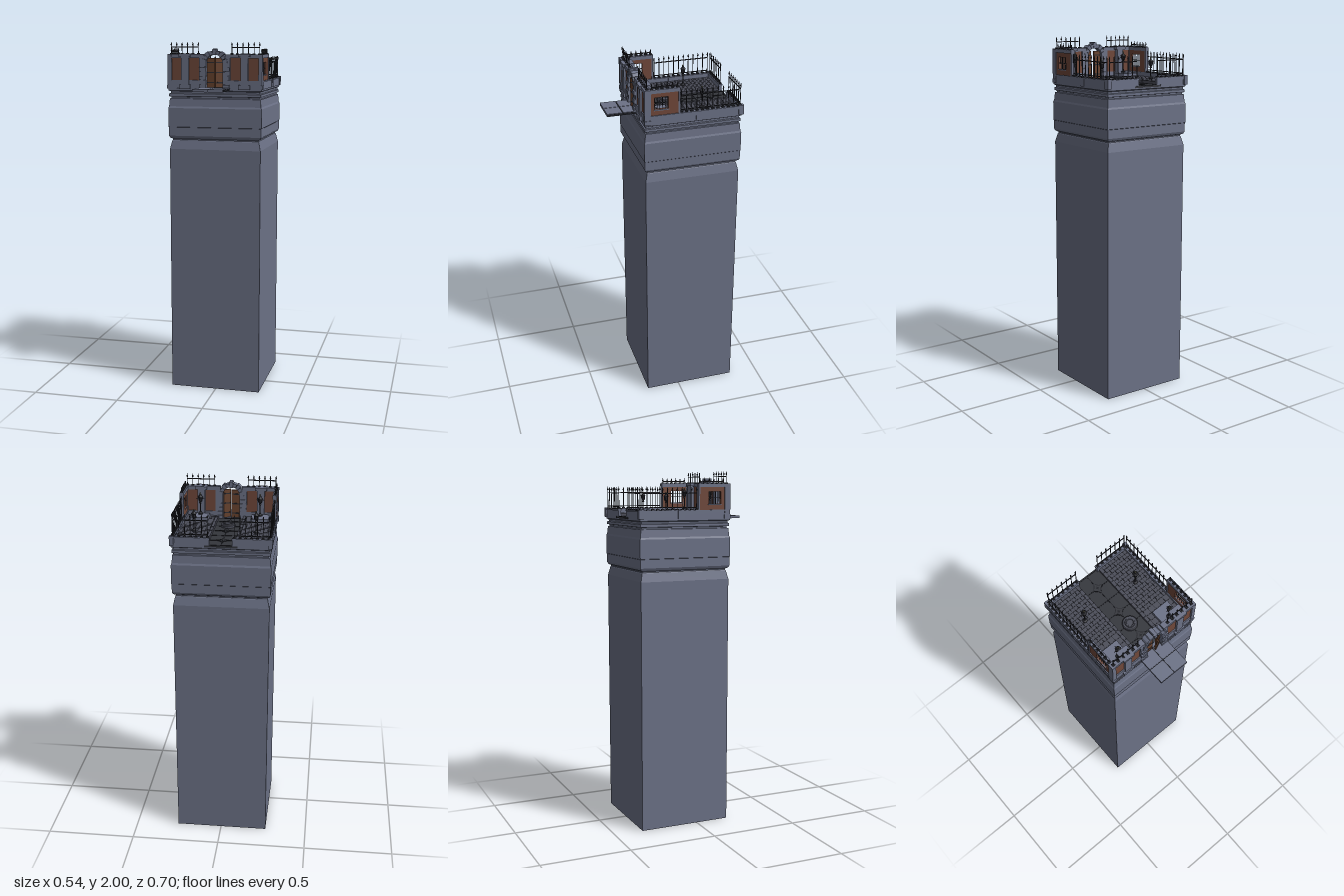
import * as THREE from 'three';
import { mergeGeometries } from 'three/addons/utils/BufferGeometryUtils.js';

const mat = (color) => new THREE.MeshStandardMaterial({ color, flatShading: true });
const STONE = mat(0x6c7287), TILE = mat(0x4b4d59), DARK = mat(0x34363c), JOINT = mat(0x1e2026);
const BRICK = mat(0x70483a), IRON = mat(0x2b2c33), WOOD = mat(0x69442f), LAMP = mat(0x6a6a55);

const FLOOR = 1.75, DECK = 1.765, BASE = 1.79, CAP = 1.932;
const Z_FRONT = 0.193, Z_BACK = -0.345, HALF = 0.266;

// Box geometry given by its extents
function boxGeo(x0, x1, y0, y1, z0, z1) {
  return new THREE.BoxGeometry(Math.abs(x1 - x0), y1 - y0, z1 - z0)
    .translate((x0 + x1) / 2, (y0 + y1) / 2, (z0 + z1) / 2);
}

function createModel() {
  const model = new THREE.Group();
  model.name = 'towerTerrace';
  const root = new THREE.Group();
  root.name = 'tower';
  root.position.x = -0.004;
  model.add(root);

  const add = (name, geo, material, parent = root) => {
    const m = new THREE.Mesh(geo, material);
    m.name = name;
    parent.add(m);
    return m;
  };
  const box = (name, material, ...e) => add(name, boxGeo(...e), material);

  // Square shaft with grooves and cornice: [half width, height]
  const profile = [[0, 0], [0.26, 0], [0.26, 1.405], [0.249, 1.452], [0.246, 1.456], [0.246, 1.462], [0.258, 1.468],
    [0.264, 1.48], [0.264, 1.528], [0.266, 1.53], [0.266, 1.635], [0.262, 1.645], [0.258, 1.688], [0.251, 1.69],
    [0.251, 1.698], [0.261, 1.7], [0.261, 1.715], [0.254, 1.718], [0.254, 1.728], [0.264, 1.733], [0.264, 1.745], [0, 1.745]];
  const shaft = add('shaft', new THREE.LatheGeometry(
    profile.map(([r, y]) => new THREE.Vector2(r * Math.SQRT2, y)), 4, Math.PI / 4), STONE);
  shaft.scale.z = 1.015;
  shaft.position.z = -0.072;

  // Central aisle with joints and star inlays
  box('aisle', DARK, -0.088, 0.088, 1.74, FLOOR, Z_BACK, 0.163);
  const joints = [boxGeo(-0.002, 0.002, FLOOR, FLOOR + 0.002, -0.33, 0.163)];
  for (let i = 0; i < 6; i++) {
    const z = -0.338 + i * 0.0862;
    joints.push(boxGeo(-0.072, 0.072, FLOOR, FLOOR + 0.002, z - 0.002, z + 0.002));
  }
  add('aisleJoints', mergeGeometries(joints), JOINT);
  const star = (r) => {
    const s = new THREE.Shape().moveTo(r, 0);
    for (let k = 1; k <= 4; k++) {
      const a = k * Math.PI / 2, m = a - Math.PI / 4;
      s.quadraticCurveTo(Math.cos(m) * r * 0.22, Math.sin(m) * r * 0.22, Math.cos(a) * r, Math.sin(a) * r);
    }
    return s;
  };
  for (const z of [-0.252, -0.08, 0.092]) {
    [[0.042, 0.003, JOINT], [0.033, 0.004, DARK], [0.012, 0.005, JOINT]].forEach(([r, depth, m]) => {
      const g = new THREE.ExtrudeGeometry(star(r), { depth, bevelEnabled: false, curveSegments: 6 });
      add('starInlay', g.rotateX(-Math.PI / 2).translate(0, FLOOR, z), m);
    });
  }

  // Round dais on the aisle
  const dais = [[0, 0], [0.04, 0], [0.04, 0.012], [0.036, 0.015], [0.027, 0.015], [0.025, 0.02], [0.019, 0.02], [0.017, 0.017], [0, 0.017]];
  add('dais', new THREE.LatheGeometry(dais.map(([r, y]) => new THREE.Vector2(r, y + FLOOR)), 32), TILE).position.set(0, 0, 0.008);

  // Tiled side decks
  const tiles = [], curb = [];
  const tileGrid = (x0, x1, z0, z1, nx, nz, s) => {
    const w = (x1 - x0) / nx, d = (z1 - z0) / nz, g = 0.0013;
    for (let i = 0; i < nx; i++) for (let j = 0; j < nz; j++) {
      const x = x0 + i * w, z = z0 + j * d;
      tiles.push(boxGeo(s * (x + g), s * (x + w - g), DECK - 0.002, DECK + 0.001, z + g, z + d - g));
    }
  };
  for (const s of [-1, 1]) {
    box('deckBed', JOINT, s * 0.072, s * 0.25, 1.74, DECK - 0.001, -0.33, 0.165);
    tileGrid(0.088, 0.248, -0.325, 0.005, 8, 16, s);
    tileGrid(0.088, 0.248, 0.005, 0.163, 5, 5, s);
    for (let j = 0; j < 15; j++) {
      const z = -0.325 + j * 0.0325;
      curb.push(boxGeo(s * 0.07, s * 0.086, 1.745, DECK + 0.002, z + 0.001, z + 0.0315));
    }
  }
  add('deckTiles', mergeGeometries(tiles), TILE);
  add('aisleCurb', mergeGeometries(curb), TILE);

  // Landing in front of the door, four slabs
  box('landingCore', JOINT, -0.083, 0.087, 1.737, 1.747, 0.18, 0.35);
  for (const s of [-1, 1]) for (const [z0, z1] of [[0.185, 0.263], [0.267, 0.352]])
    box('landingSlab', STONE, s * 0.002, s * 0.085, 1.735, FLOOR, z0, z1);

  // Spear fence: posts from a to b, rails at given heights above the base
  const fence = (name, ax, az, bx, bz, n, y, h, rails) => {
    const parts = [];
    const along = Math.atan2(-(bz - az), bx - ax), len = Math.hypot(bx - ax, bz - az);
    for (let i = 0; i < n; i++) {
      const t = n > 1 ? i / (n - 1) : 0, x = ax + (bx - ax) * t, z = az + (bz - az) * t;
      parts.push(new THREE.BoxGeometry(0.014, 0.006, 0.014).translate(x, y + 0.003, z));
      parts.push(new THREE.CylinderGeometry(0.0022, 0.0022, h - 0.02, 6).translate(x, y + (h - 0.02) / 2, z));
      parts.push(new THREE.CylinderGeometry(0.005, 0.002, 0.005, 4).translate(x, y + h - 0.0195, z));
      parts.push(new THREE.ConeGeometry(0.005, 0.018, 4).translate(x, y + h - 0.009, z));
    }
    for (const r of rails) parts.push(new THREE.BoxGeometry(len, 0.005, 0.004).rotateY(along)
      .translate((ax + bx) / 2, y + r, (az + bz) / 2));
    add(name, mergeGeometries(parts), IRON);
  };

  // Lamp standing on the deck
  const lampProfile = [[0, 0], [0.013, 0], [0.013, 0.006], [0.005, 0.012], [0.003, 0.02], [0.003, 0.06], [0.008, 0.064],
    [0.004, 0.068], [0.011, 0.078], [0.013, 0.096], [0.016, 0.098], [0.006, 0.108], [0.003, 0.116], [0, 0.12]];
  const lamp = (x, y, z, arms) => {
    const g = new THREE.Group();
    g.name = 'lamp';
    g.position.set(x, y, z);
    root.add(g);
    add('lampPost', new THREE.LatheGeometry(lampProfile.map(([r, h]) => new THREE.Vector2(r, h)), 8), IRON, g);
    add('lampFinial', new THREE.SphereGeometry(0.005, 8, 6).translate(0, 0.117, 0), LAMP, g);
    if (arms) for (let k = 0; k < 4; k++)
      add('lampArm', new THREE.ConeGeometry(0.004, 0.02, 4).rotateZ(-Math.PI / 2).translate(0.016, 0.09, 0)
        .rotateY(k * Math.PI / 2), IRON, g);
  };

  for (const s of [-1, 1]) {
    // Low parapets on the sides and back
    box('sideParapet', STONE, s * 0.246, s * HALF, 1.742, BASE - 0.008, Z_BACK, 0.165);
    box('sideCoping', STONE, s * 0.244, s * 0.268, BASE - 0.008, BASE, Z_BACK, 0.165);
    box('sidePier', STONE, s * 0.242, s * 0.27, 1.742, BASE, -0.12, -0.085);
    box('backParapet', STONE, s * 0.06, s * HALF, 1.742, BASE - 0.008, Z_BACK + 0.003, -0.325);
    box('backCoping', STONE, s * 0.058, s * HALF, BASE - 0.008, BASE, Z_BACK, -0.323);
    box('backCornerBlock', STONE, s * 0.248, s * 0.271, 1.742, BASE + 0.004, Z_BACK - 0.005, -0.322);
    fence('sideFence', s * 0.257, -0.322, s * 0.257, -0.005, 12, BASE, 0.125, [0.014, 0.09]);
    fence('backFence', s * 0.07, -0.335, s * 0.25, -0.335, 7, BASE, 0.125, [0.014, 0.09]);

    // Front wall: plinth, brick panels, pilasters and coping
    box('frontPlinth', STONE, s * 0.06, s * HALF, 1.742, BASE, 0.163, Z_FRONT);
    box('frontBrick', BRICK, s * 0.06, s * 0.25, BASE, 1.912, 0.169, 0.187);
    box('frontCoping', STONE, s * 0.06, s * 0.268, 1.912, CAP, 0.162, 0.195);
    box('cornerPost', STONE, s * 0.246, s * 0.268, 1.742, CAP, 0.162, 0.196);
    box('cornerPostFoot', STONE, s * 0.243, s * 0.271, 1.742, 1.765, 0.16, 0.197);
    box('pilaster', STONE, s * 0.147, s * 0.189, 1.742, CAP, 0.145, 0.199);
    box('pilasterFoot', STONE, s * 0.136, s * 0.201, 1.742, 1.766, 0.14, 0.205);
    box('pilasterCap', STONE, s * 0.136, s * 0.201, 1.918, 1.935, 0.14, 0.205);
    box('doorPost', STONE, s * 0.06, s * 0.088, 1.742, CAP, 0.162, 0.195);
    fence('frontFence', s * 0.095, 0.179, s * 0.25, 0.179, 6, CAP, 0.068, [0.038]);

    // Side wall with a barred window
    const wall = new THREE.Shape().moveTo(0.008, BASE).lineTo(0.165, BASE).lineTo(0.165, 1.915).lineTo(0.008, 1.915).closePath();
    wall.holes.push(new THREE.Path().moveTo(0.066, 1.822).lineTo(0.066, 1.888).lineTo(0.14, 1.888).lineTo(0.14, 1.822).closePath());
    const wallGeo = new THREE.ExtrudeGeometry(wall, { depth: 0.014, bevelEnabled: false }).rotateY(-Math.PI / 2);
    add('sideWall', wallGeo.translate(s * 0.256 + 0.007, 0, 0), BRICK);
    box('sideWallCoping', STONE, s * 0.244, s * 0.268, 1.912, CAP, 0.003, 0.165);
    box('sideWallEnd', STONE, s * 0.245, s * 0.267, BASE, CAP, 0.003, 0.012);
    for (let k = 0; k < 4; k++) {
      const z = 0.081 + k * 0.0147;
      box('windowBar', IRON, s * 0.2545, s * 0.2575, 1.822, 1.888, z - 0.0015, z + 0.0015);
    }
    box('windowRail', IRON, s * 0.2545, s * 0.2575, 1.853, 1.857, 0.066, 0.14);
    box('windowSill', STONE, s * 0.247, s * 0.266, 1.816, 1.822, 0.062, 0.144);
    fence('sideWallFence', s * 0.257, 0.015, s * 0.257, 0.155, 6, CAP, 0.034, [0.012]);

    // Plinth and lamps on each deck
    box('lampPlinth', STONE, s * 0.119, s * 0.219, 1.76, 1.785, 0.043, 0.14);
    lamp(s * 0.168, 1.785, 0.115, true);
    lamp(s * 0.168, DECK, -0.148, false);

    // Alternating doorway quoins
    for (let k = 0; k < 6; k++) {
      const y = 1.745 + k * 0.0235, out = k % 2 ? 0.074 : 0.086;
      box('doorQuoin', STONE, s * 0.047, s * out, y, y + 0.0225, 0.159, k % 2 ? 0.199 : 0.204);
    }
  }

  // Door arch of separate stones, with keystone
  for (let k = 0; k < 9; k++) {
    const a0 = k * Math.PI / 9 + 0.015, a1 = (k + 1) * Math.PI / 9 - 0.015, R = k % 2 ? 0.067 : 0.073;
    const s = new THREE.Shape();
    s.absarc(0, 0, R, a0, a1, false);
    s.absarc(0, 0, 0.046, a1, a0, true);
    const g = new THREE.ExtrudeGeometry(s, { depth: 0.04, bevelEnabled: false, curveSegments: 3 });
    add('archStone', g.translate(0, 1.885, 0.161), STONE);
  }
  box('keystone', STONE, -0.009, 0.009, 1.928, 1.962, 0.158, 0.206);

  // Double door, left leaf ajar
  for (const s of [-1, 1]) {
    const leaf = new THREE.Group();
    leaf.name = 'doorLeaf';
    leaf.position.set(s * 0.045, 0, 0.18);
    leaf.rotation.y = s > 0 ? 0.45 : 0;
    root.add(leaf);
    add('doorPanel', boxGeo(0, -s * 0.044, 1.752, 1.912, -0.004, 0.004), WOOD, leaf);
    for (const y of [1.775, 1.83, 1.885])
      add('doorStrap', boxGeo(0, -s * 0.04, y, y + 0.006, -0.0055, 0.0055), IRON, leaf);
  }
  return model;
}

export { createModel };
